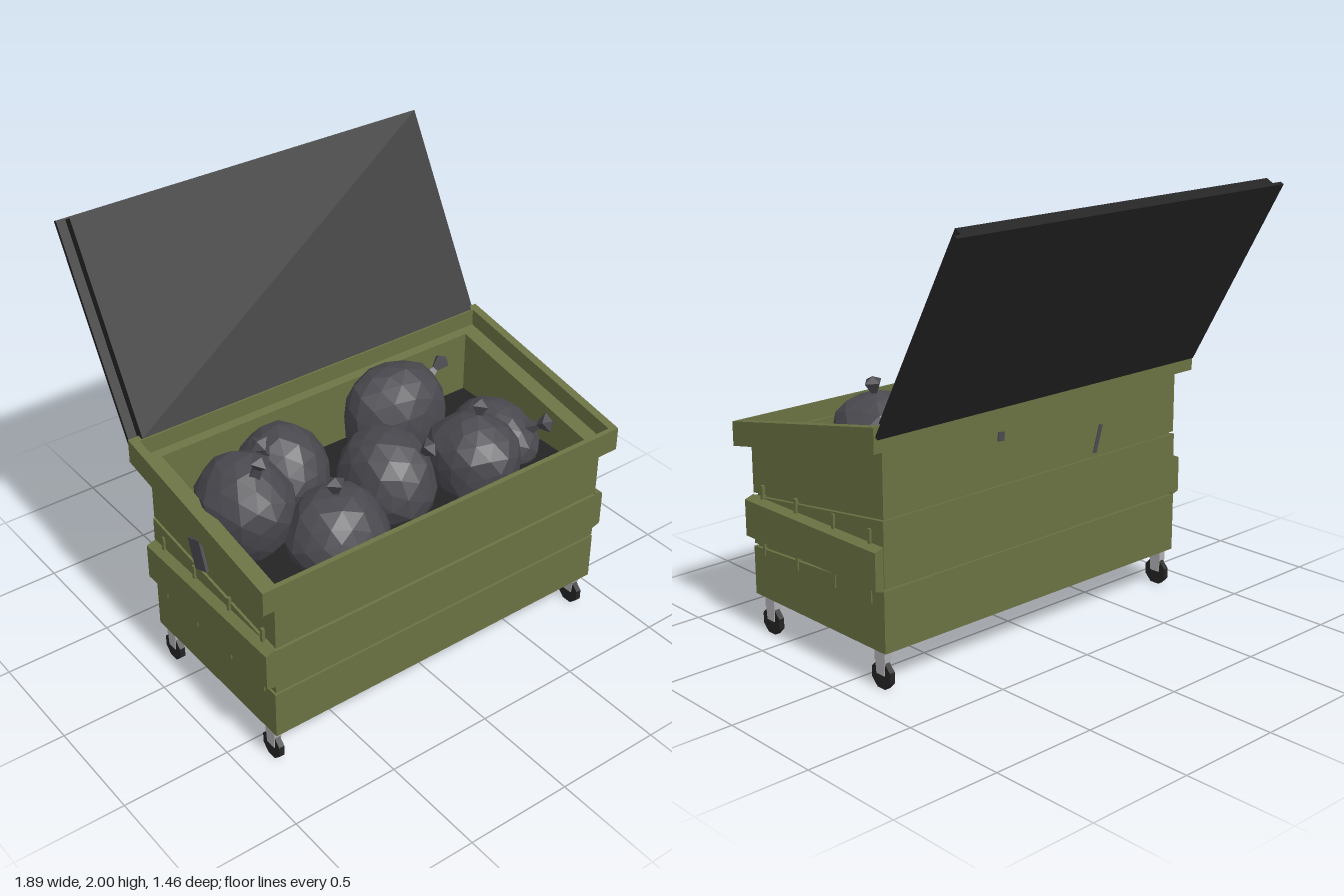
import * as THREE from 'three';

const mat = (name, color) => Object.assign(new THREE.MeshStandardMaterial({ color }), { name });

export function createModel() {
  const green = mat('olive paint', 0x6a7142);
  const black = mat('black plastic', 0x242424);
  const bagGrey = mat('bag grey', 0x4a494f);
  const steel = mat('caster steel', 0xb0b0b4);

  const model = new THREE.Group();
  model.name = 'dumpster';

  const add = (name, geometry, material, parent = model) => {
    const mesh = new THREE.Mesh(geometry, material);
    mesh.name = name;
    parent.add(mesh);
    return mesh;
  };
  const flat = (g) => {
    const out = g.index ? g.toNonIndexed() : g;
    out.computeVertexNormals();
    return out;
  };

  // Height that changes evenly from the front (z = 0.7) to the back (z = -0.2)
  const slope = (front, back) => (z) => front + (back - front) * (0.7 - z) / 0.9;

  // Rectangular block or frame in plan, with sloping bottom and top; bounds are [halfX, zBack, zFront]
  const rect = (Type, [hx, zb, zf]) => new Type([[-hx, -zf], [hx, -zf], [hx, -zb], [-hx, -zb]]
    .map(([x, y]) => new THREE.Vector2(x, y)));
  const layer = (name, outer, inner, bottom, top) => {
    const shape = rect(THREE.Shape, outer);
    if (inner) shape.holes.push(rect(THREE.Path, inner));
    const g = new THREE.ExtrudeGeometry(shape, { depth: 1, bevelEnabled: false });
    g.rotateX(-Math.PI / 2);
    const p = g.attributes.position;
    for (let i = 0; i < p.count; i++) {
      const z = p.getZ(i);
      p.setY(i, p.getY(i) > 0.5 ? top(z) : bottom(z));
    }
    return add(name, flat(g), green);
  };

  // Body panels with narrow seams between them
  const cavity = [0.83, -0.17, 0.67];
  const rimTop = slope(0.991, 1.162);
  const below = (d) => (z) => rimTop(z) - d;
  layer('lowerBody', [0.88, -0.205, 0.7], null, () => 0.18, slope(0.405, 0.455));
  layer('lowerSeam', [0.865, -0.19, 0.685], null, slope(0.4, 0.45), slope(0.425, 0.475));
  layer('middleBody', [0.876, -0.203, 0.7], null, slope(0.417, 0.467), slope(0.638, 0.755));
  layer('upperSeam', [0.86, -0.188, 0.685], cavity, slope(0.63, 0.745), slope(0.66, 0.775));
  layer('upperBody', [0.872, -0.2, 0.7], cavity, slope(0.652, 0.767), below(0.08));

  // Raised rim and the ledge inside it
  layer('rimLedge', [0.94, -0.235, 0.725], cavity, below(0.11), below(0.078));
  layer('rim', [0.945, -0.24, 0.73], [0.905, -0.21, 0.71], below(0.111), rimTop);

  const floor = add('innerFloor', new THREE.BoxGeometry(1.66, 0.02, 0.84), black);
  floor.position.set(0, 0.77, 0.25);

  // Side pockets with small gussets above and below
  for (const side of [-1, 1]) {
    const s = new THREE.Shape([[0, 0.45], [0.045, 0.463], [0.045, 0.63], [0.025, 0.637], [0, 0.645]]
      .map(([x, y]) => new THREE.Vector2(x * side, y)));
    const g = new THREE.ExtrudeGeometry(s, { depth: 0.9, bevelEnabled: false });
    g.translate(side * 0.874, 0, -0.2);
    add(side > 0 ? 'leftPocket' : 'rightPocket', g, green);
    for (const z of [-0.12, 0.12, 0.38, 0.62]) {
      for (const y of [0.42, 0.665]) {
        add('gusset', new THREE.BoxGeometry(0.02, 0.08, 0.015), green).position.set(side * 0.876, y, z);
      }
    }
  }

  // Open lid: a slab with a wider outer sheet, leaning back
  const lid = new THREE.Group();
  lid.name = 'lid';
  lid.position.set(0, 1.17, -0.21);
  lid.rotation.x = -Math.atan2(0.46, 0.83);
  model.add(lid);
  add('lidPanel', new THREE.BoxGeometry(1.785, 0.949, 0.045), black, lid).position.set(0, 0.4745, -0.0225);
  add('lidSheet', new THREE.BoxGeometry(1.87, 0.979, 0.018), black, lid).position.set(0, 0.4665, -0.054);

  // Casters
  for (const x of [-0.845, 0.845]) {
    for (const z of [-0.145, 0.625]) {
      const caster = new THREE.Group();
      caster.name = 'caster';
      caster.position.set(x, 0, z);
      model.add(caster);
      const wheel = new THREE.CylinderGeometry(0.064, 0.064, 0.026, 8);
      wheel.rotateY(Math.PI / 8).rotateZ(Math.PI / 2);
      add('wheel', flat(wheel), black, caster).position.y = 0.062;
      add('casterMount', new THREE.BoxGeometry(0.036, 0.056, 0.066), steel, caster).position.y = 0.152;
      const plate = new THREE.Shape([[-0.025, 0.065], [0.025, 0.065], [0.031, 0.13], [-0.031, 0.13]]
        .map(([a, b]) => new THREE.Vector2(a, b)));
      for (const s of [-1, 1]) {
        const g = new THREE.ExtrudeGeometry(plate, { depth: 0.004, bevelEnabled: false });
        g.translate(0, 0, -0.002).rotateY(Math.PI / 2);
        add('casterFork', g, steel, caster).position.x = s * 0.015;
      }
    }
  }

  // Rubbish bags: centre, radii, tip of the knot
  const bags = [
    [[-0.65, 0.95, 0.17], [0.2, 0.235, 0.235], [-0.65, 1.265, 0.31]],
    [[-0.35, 0.9, 0.02], [0.2, 0.22, 0.215], [-0.52, 1.16, 0.08]],
    [[-0.38, 0.85, 0.45], [0.225, 0.205, 0.21], [-0.39, 1.135, 0.45]],
    [[-0.02, 0.9, 0.32], [0.2, 0.225, 0.24], [0.09, 1.13, 0.5]],
    [[0.27, 0.96, 0.01], [0.25, 0.24, 0.2], [0.55, 1.15, 0.02]],
    [[0.4, 0.88, 0.4], [0.2, 0.21, 0.225], [0.44, 1.16, 0.39]],
    [[0.66, 0.8, 0.25], [0.17, 0.18, 0.235], [0.77, 0.97, 0.5]],
  ];
  bags.forEach(([c, r, tip], n) => {
    const bag = new THREE.Group();
    bag.name = 'rubbishBag';
    bag.position.set(...c);
    model.add(bag);

    // Faceted body, gently crumpled
    const g = new THREE.IcosahedronGeometry(1, 2);
    g.rotateY(n * 1.3).rotateX(n * 0.7);
    const p = g.attributes.position;
    const v = new THREE.Vector3();
    for (let i = 0; i < p.count; i++) {
      v.fromBufferAttribute(p, i);
      const k = 1 + 0.035 * Math.sin(5 * v.x + n) * Math.cos(6 * v.z + 2 * n) + 0.025 * Math.sin(7 * v.y + n);
      p.setXYZ(i, v.x * k * r[0], v.y * k * r[1], v.z * k * r[2]);
    }
    add('bagBody', flat(g), bagGrey, bag);

    // Flared four-sided knot
    const end = new THREE.Vector3(...tip).sub(bag.position);
    const dir = end.clone().normalize();
    const knot = new THREE.LatheGeometry([[0.04, -0.14], [0.018, -0.075], [0.046, -0.025], [0, 0]]
      .map(([a, b]) => new THREE.Vector2(a, b)), 4);
    const m = add('bagKnot', flat(knot), bagGrey, bag);
    m.position.copy(end);
    m.quaternion.setFromUnitVectors(new THREE.Vector3(0, 1, 0), dir);
  });

  // Loose scraps poking through the right and back walls
  const scrap = (size, pos, rot) => {
    const m = add('scrap', new THREE.BoxGeometry(...size), bagGrey);
    m.position.set(...pos);
    m.rotation.set(...rot);
  };
  scrap([0.018, 0.14, 0.09], [-0.877, 0.79, 0.16], [-0.35, 0, 0]);
  scrap([0.02, 0.13, 0.009], [-0.36, 0.84, -0.201], [0, 0, 0.3]);
  scrap([0.035, 0.04, 0.009], [0.23, 0.975, -0.201], [0, 0, 0.1]);

  return model;
}
